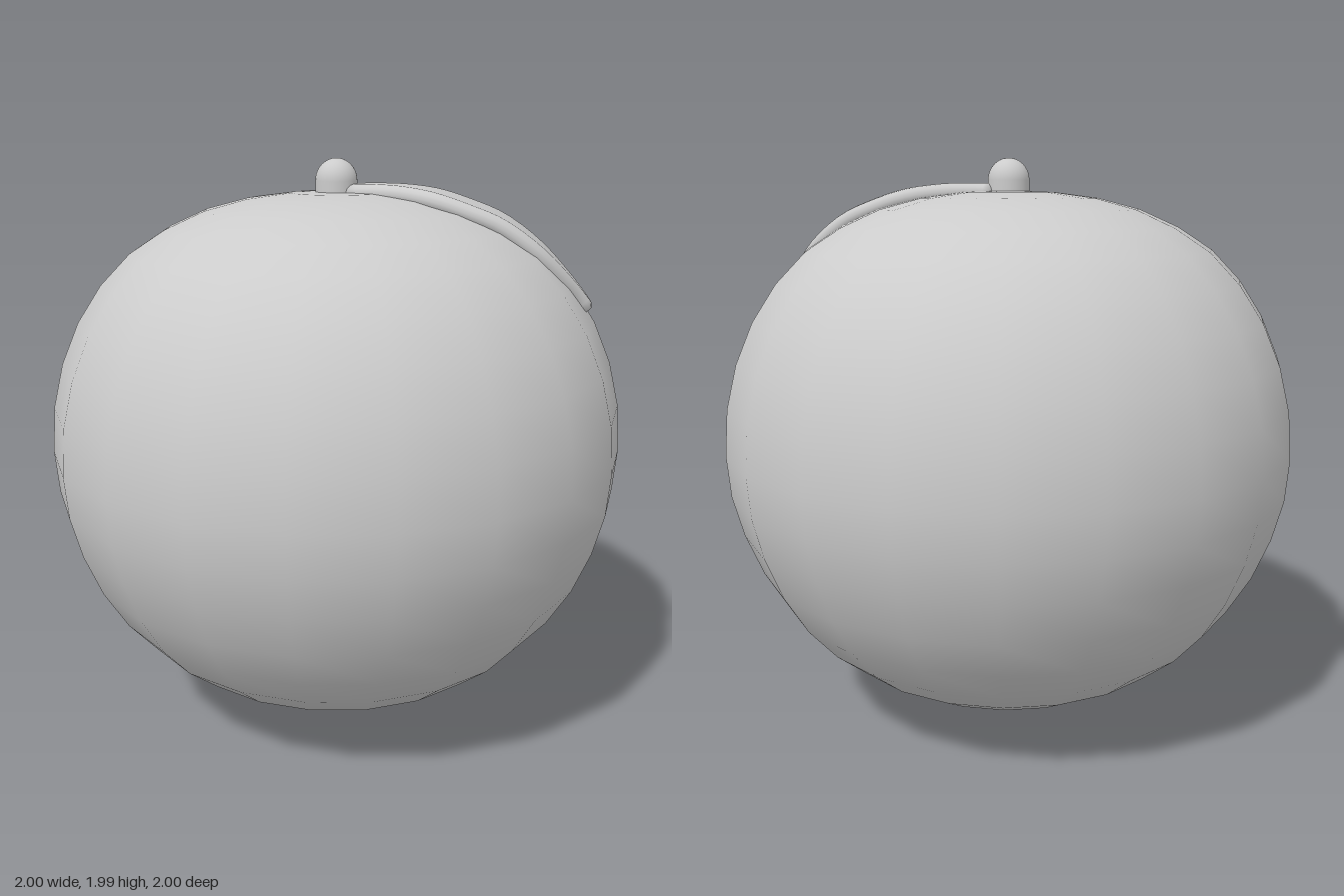
import * as THREE from 'three';

const material = new THREE.MeshStandardMaterial({ color: 0xcccccc });

function add(group, name, geometry) {
  const mesh = new THREE.Mesh(geometry, material);
  mesh.name = name;
  group.add(mesh);
  return mesh;
}

// Leaf: a rounded, flat cross-section swept along an arched midline.
function leafGeometry() {
  // x, height of the middle, half width
  const stations = [
    [0.04, 1.875, 0.06], [0.14, 1.876, 0.08], [0.23, 1.872, 0.11], [0.34, 1.855, 0.153],
    [0.45, 1.82, 0.167], [0.56, 1.775, 0.165], [0.68, 1.69, 0.15], [0.77, 1.6, 0.11],
    [0.83, 1.53, 0.068], [0.86, 1.49, 0.05],
  ];
  const curve = new THREE.CatmullRomCurve3(stations.map((s) => new THREE.Vector3(...s)));
  const rings = 28, side = 7, count = side * 2, thick = 0.03;
  const position = [], index = [];
  for (let i = 0; i <= rings; i++) {
    const p = curve.getPoint(i / rings), d = curve.getTangent(i / rings);
    const len = Math.hypot(d.x, d.y), nx = -d.y / len, ny = d.x / len;
    const t = i === rings ? thick * 0.7 : thick;
    for (let j = 0; j < count; j++) {
      const right = j < side;
      const a = (right ? -0.5 : 0.5) * Math.PI + ((j % side) / (side - 1)) * Math.PI;
      const n = Math.sin(a) * t;
      const z = (right ? 1 : -1) * (p.z - thick) + Math.cos(a) * t;
      position.push(p.x + nx * n, p.y + ny * n, z);
      if (i < rings) {
        const k = i * count + j, m = i * count + (j + 1) % count;
        index.push(k, k + count, m, m, k + count, m + count);
      }
    }
  }
  // close both ends
  const last = rings * count;
  for (let j = 1; j < count - 1; j++) {
    index.push(0, j, j + 1, last, last + j + 1, last + j);
  }
  const geometry = new THREE.BufferGeometry();
  geometry.setAttribute('position', new THREE.Float32BufferAttribute(position, 3));
  geometry.setIndex(index);
  geometry.computeVertexNormals();
  return geometry;
}

export function createModel() {
  const group = new THREE.Group();
  group.name = 'fruit';

  // Fruit body: twenty-sided, slightly flattened at top and bottom
  const heights = [0.055, 0.065, 0.1, 0.152, 0.225, 0.32, 0.435, 0.57, 0.715, 0.855, 1,
    1.16, 1.31, 1.45, 1.575, 1.68, 1.757, 1.817, 1.855, 1.875, 1.88];
  const profile = heights.map((y, i) =>
    new THREE.Vector2(i % 20 ? Math.sin((i * Math.PI) / 20) : 0, y));
  add(group, 'body', new THREE.LatheGeometry(profile, 20));

  // Stem: short post with a domed top
  const stem = [new THREE.Vector2(0.072, 1.84)];
  for (let i = 0; i <= 10; i++) {
    const a = (i / 10) * Math.PI / 2;
    stem.push(new THREE.Vector2(i === 10 ? 0 : 0.072 * Math.cos(a), 1.915 + 0.075 * Math.sin(a)));
  }
  add(group, 'stem', new THREE.LatheGeometry(stem, 28));

  // Blossom end: flattened button underneath
  const button = add(group, 'blossomEnd', new THREE.SphereGeometry(0.092, 28, 16));
  button.scale.y = 0.54;
  button.position.y = 0.05;

  add(group, 'leaf', leafGeometry());
  return group;
}
